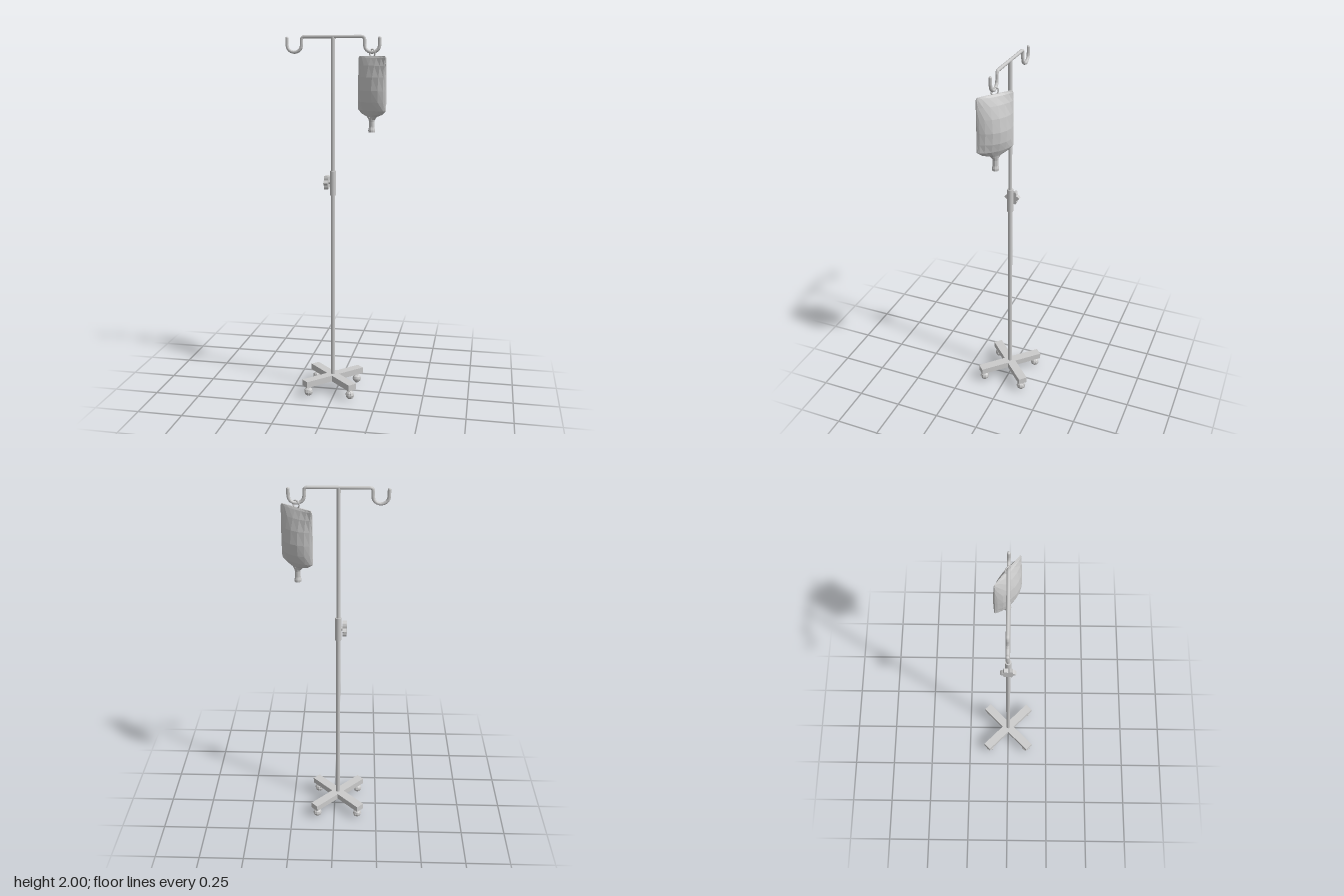
import * as THREE from 'three';

const POLE_X = -0.02;

export function createModel() {
  const root = new THREE.Group();
  const smooth = new THREE.MeshStandardMaterial({ color: 0xcccccc });
  const flat = new THREE.MeshStandardMaterial({ color: 0xcccccc, flatShading: true });

  function add(name, geometry, material, x = 0, y = 0, z = 0, parent = root) {
    const mesh = new THREE.Mesh(geometry, material);
    mesh.name = name;
    mesh.position.set(x, y, z);
    parent.add(mesh);
    return mesh;
  }

  // Crossed base legs, kept as one outline so the tops do not overlap
  const cross = new THREE.Shape();
  const L = 0.193, W = 0.025;
  [[L, -W], [L, W], [W, W], [W, L], [-W, L], [-W, W], [-L, W], [-L, -W],
    [-W, -W], [-W, -L], [W, -L], [W, -W]].forEach(([x, y], i) => i ? cross.lineTo(x, y) : cross.moveTo(x, y));
  const base = new THREE.ExtrudeGeometry(cross, { depth: 0.035, bevelEnabled: false });
  base.rotateX(-Math.PI / 2).rotateY(Math.PI / 4);
  add('baseLegs', base, flat, POLE_X, 0.06, 0);

  // Ball casters with a short stem and a side collar
  for (const sx of [-1, 1]) {
    for (const sz of [-1, 1]) {
      const caster = new THREE.Group();
      caster.name = 'caster';
      caster.position.set(POLE_X + sx * 0.119, 0, sz * 0.118);
      caster.rotation.y = sx * 0.4 + sz * 0.3;
      add('casterBall', new THREE.SphereGeometry(0.025, 8, 6), flat, 0, 0.026, 0, caster);
      add('casterStem', new THREE.CylinderGeometry(0.009, 0.009, 0.025, 8), flat, 0, 0.052, 0, caster);
      const collar = add('casterCollar', new THREE.CylinderGeometry(0.026, 0.026, 0.012, 10), flat, 0, 0.027, 0, caster);
      collar.rotation.z = Math.PI / 2;
      root.add(caster);
    }
  }

  // Telescoping pole with clamp sleeve
  add('lowerPole', new THREE.CylinderGeometry(0.012, 0.012, 1.09, 12), smooth, POLE_X, 0.635, 0);
  add('upperPole', new THREE.CylinderGeometry(0.0105, 0.0105, 0.82, 12), smooth, POLE_X, 1.58, 0);
  add('sleeve', new THREE.CylinderGeometry(0.017, 0.017, 0.135, 12), smooth, POLE_X, 1.207, 0);

  // Lobed clamp knob on a screw
  const lobes = new THREE.Shape();
  for (let i = 0; i < 24; i++) {
    const a = i / 24 * Math.PI * 2;
    const r = 0.036 + 0.007 * Math.cos(a * 6);
    i ? lobes.lineTo(r * Math.cos(a), r * Math.sin(a)) : lobes.moveTo(r, 0);
  }
  const knob = new THREE.ExtrudeGeometry(lobes, { depth: 0.023, bevelEnabled: false });
  knob.rotateY(-Math.PI / 2);
  add('clampKnob', knob, flat, -0.043, 1.21, 0);
  add('clampScrew', new THREE.CylinderGeometry(0.01, 0.01, 0.03, 8), flat, -0.04, 1.21, 0).rotation.z = Math.PI / 2;

  // Crossbar bent into an upturned hook at each end
  const half = [[0, 1.99], [0.157, 1.99], [0.167, 1.987], [0.17, 1.977], [0.17, 1.95]];
  for (let i = 1; i <= 8; i++) {
    const a = Math.PI + i / 8 * Math.PI;
    half.push([0.21 + 0.04 * Math.cos(a), 1.946 + 0.037 * Math.sin(a)]);
  }
  half.push([0.25, 1.982]);
  const path = new THREE.CurvePath();
  const points = [...half.slice(1).reverse().map(([x, y]) => [-x, y]), ...half]
    .map(([x, y]) => new THREE.Vector3(POLE_X + x, y, 0));
  for (let i = 1; i < points.length; i++) path.add(new THREE.LineCurve3(points[i - 1], points[i]));
  add('hookBar', new THREE.TubeGeometry(path, 120, 0.0088, 8), smooth);
  for (const s of [-1, 1]) add('hookTip', new THREE.SphereGeometry(0.0088, 8, 6), smooth, POLE_X + s * 0.25, 1.982, 0);

  // Fluid bag, turned on its hook
  const bag = new THREE.Group();
  bag.name = 'fluidBag';
  bag.position.set(0.191, 0, -0.005);
  bag.rotation.y = -0.65;
  root.add(bag);

  // Lens-shaped cross-sections: height, half width, half thickness
  const rows = [[1.89, 0.096, 0.001], [1.88, 0.102, 0.008], [1.84, 0.103, 0.025], [1.78, 0.103, 0.042],
    [1.71, 0.103, 0.05], [1.65, 0.103, 0.045], [1.605, 0.103, 0.032], [1.585, 0.075, 0.022],
    [1.572, 0.035, 0.016], [1.555, 0.018, 0.013]];
  const N = 8, ring = 2 * (N + 1), pos = [], index = [];
  for (const [y, w, t] of rows) {
    for (const s of [1, -1]) {
      for (let i = 0; i <= N; i++) {
        const u = s * Math.cos(i / N * Math.PI);
        pos.push(w * u, y, s * (0.003 + t * Math.pow(1 - u * u, 0.8)));
      }
    }
  }
  for (let r = 0; r < rows.length - 1; r++) {
    for (let i = 0; i < ring; i++) {
      const a = r * ring + i, b = r * ring + (i + 1) % ring;
      index.push(a, a + ring, b, b, a + ring, b + ring);
    }
  }
  const last = (rows.length - 1) * ring;
  for (let i = 1; i < ring - 1; i++) {
    index.push(0, i, i + 1, last, last + i + 1, last + i);
  }
  const body = new THREE.BufferGeometry();
  body.setAttribute('position', new THREE.Float32BufferAttribute(pos, 3));
  body.setIndex(index);
  body.computeVertexNormals();
  const bagMaterial = flat.clone();
  bagMaterial.side = THREE.DoubleSide;
  add('bagBody', body, bagMaterial, 0, 0, 0, bag);

  // Outlet port under the bag
  const port = [[0, 1.488], [0.018, 1.488], [0.019, 1.5], [0.015, 1.515], [0.015, 1.545], [0.02, 1.57], [0, 1.575]];
  add('outletPort', new THREE.LatheGeometry(port.map(([x, y]) => new THREE.Vector2(x, y)), 10), flat, 0, 0, 0, bag);

  // Hanging loop over the hook
  add('hangingLoop', new THREE.TorusGeometry(0.02, 0.004, 6, 14), smooth, 0, 1.904, 0, bag);

  return root;
}
